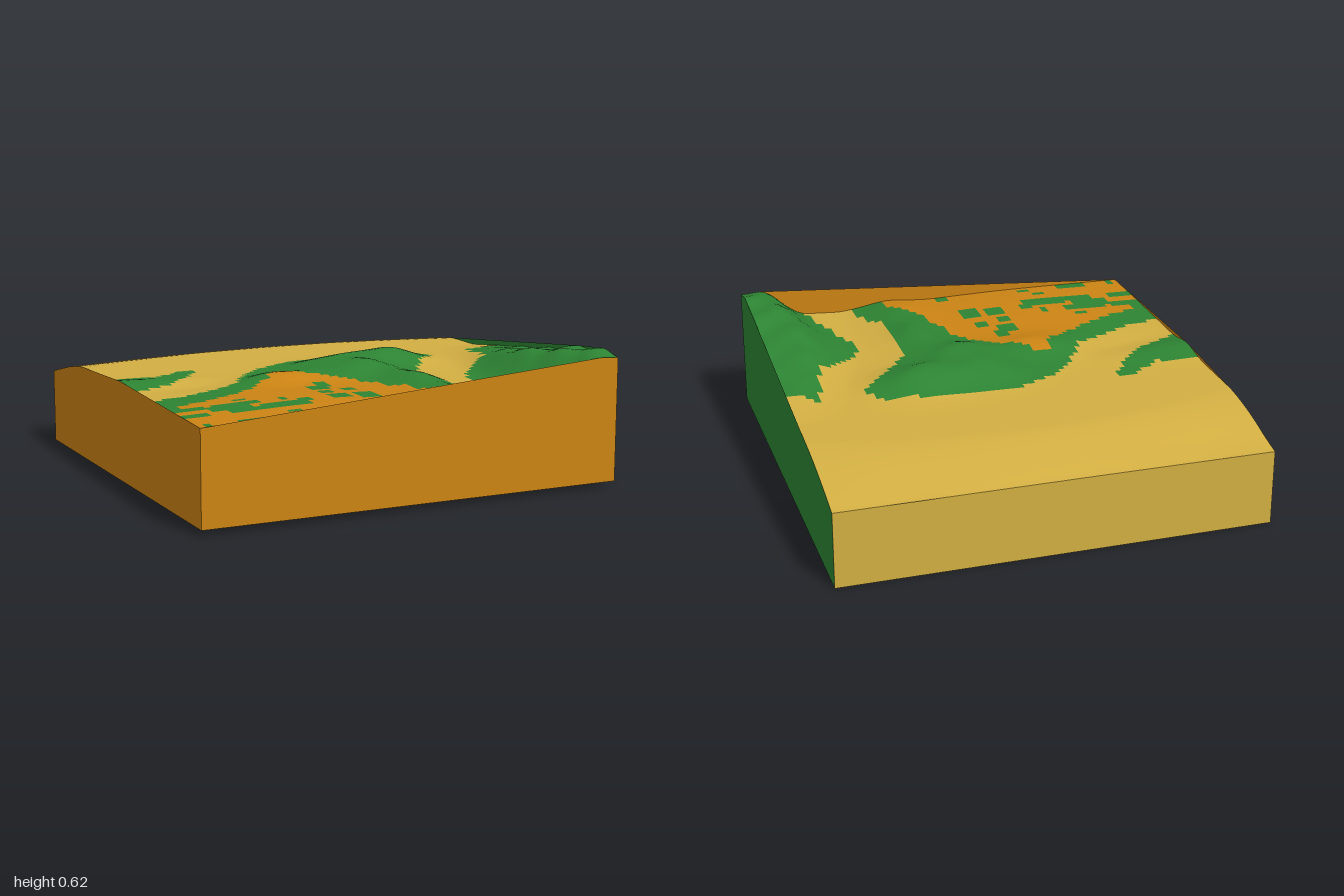
import * as THREE from 'three';

const TAN = 0xd2ae42, GREEN = 0x2d8433, ORANGE = 0xcc8414;
const N = 64, STEP = 2 / N;
const { smoothstep, clamp } = THREE.MathUtils;

// Hills and hollows: x, z, height, radius in x, radius in z
const bumps = [
  [0.36, -0.02, 0.07, 0.19, 0.16], [0.05, 0, 0.05, 0.2, 0.15], [0.1, 0.22, 0.06, 0.17, 0.14],
  [0.23, 0.5, 0.05, 0.12, 0.2], [0.24, 0.86, 0.035, 0.13, 0.2], [-0.3, 0.22, 0.045, 0.2, 0.14],
  [-0.35, 0.72, 0.022, 0.5, 0.35], [-1, 0.02, 0.025, 0.3, 0.12], [0.5, 0.8, -0.012, 0.1, 0.4],
  [0.95, 0.9, 0.015, 0.14, 0.09], [0.95, 0.7, 0.018, 0.14, 0.09], [0.78, 0.5, 0.015, 0.1, 0.12],
  [-0.72, 0.14, -0.012, 0.25, 0.1], [-0.8, -0.9, -0.012, 0.3, 0.1], [0.65, -0.92, -0.01, 0.15, 0.1],
];

// Terrain height: flat plain falling at the back, a ridge on one side, and the bumps
function height(x, z) {
  const brink = -0.66 + 0.16 * x * x;
  let y = 0.45 - 0.095 * Math.pow(clamp((brink - z) / (brink + 1), 0, 1), 1.4);
  const toe = 0.58 + 0.3 * Math.max(0, 0.3 - z) + 0.2 * Math.max(0, z - 0.6);
  y += clamp((z + 0.3) * 0.13, 0, 0.145) * smoothstep(x, toe, toe + 0.27);
  for (const [bx, bz, h, rx, rz] of bumps) {
    y += h * Math.exp(-(((x - bx) / rx) ** 2) - ((z - bz) / rz) ** 2);
  }
  // gentle ripples on the high ground
  return y + 0.06 * Math.max(0, y - 0.46) * Math.sin(x * 23 + 1) * Math.sin(z * 27);
}

// Outlines of the ground covers, seen from above as x, z pairs
const outlines = {
  leftWood: [-1, -0.12, -0.84, -0.12, -0.8, -0.1, -0.7, -0.17, -0.62, -0.22, -0.54, -0.22, -0.6, -0.13,
    -0.67, -0.03, -0.75, 0.05, -0.85, 0.12, -1, 0.19],
  middleWood: [-1, 0.41, -0.8, 0.36, -0.62, 0.27, -0.5, 0.2, -0.45, 0.08, -0.37, -0.01, -0.28, -0.11,
    -0.1, -0.2, 0, -0.22, 0.4, -0.22, 0.42, -0.18, 0.56, -0.18, 0.6, -0.13, 0.62, -0.05, 0.5, 0.08,
    0.42, 0.2, 0.35, 0.3, 0.34, 0.72, 0.39, 0.78, 0.42, 0.85, 0.43, 1, -1, 1],
  rightWood: [1, -0.06, 0.9, -0.06, 0.87, -0.12, 0.84, -0.12, 0.82, 0.05, 0.77, 0.2, 0.65, 0.3, 0.56, 0.4,
    0.53, 0.46, 0.54, 0.6, 0.6, 0.68, 0.61, 0.78, 0.65, 0.88, 0.68, 1, 1, 1],
  field: [-1, 1, 0.28, 1, 0.27, 0.88, 0.22, 0.84, 0.12, 0.74, 0.12, 0.62, 0.07, 0.6, 0.05, 0.47, -0.03, 0.36,
    -0.1, 0.28, -0.2, 0.23, -0.27, 0.12, -0.34, 0.13, -0.37, 0.25, -0.5, 0.35, -0.6, 0.42, -0.75, 0.5,
    -0.92, 0.57, -0.95, 0.62, -0.83, 0.64, -0.82, 0.68, -1, 0.68],
};

// Green patches inside the field: x min, x max, z min, z max
const patches = [
  [-0.82, -0.64, 0.62, 0.68], [-0.83, -0.66, 0.69, 0.74], [-0.78, -0.6, 0.74, 0.8], [-0.62, -0.4, 0.72, 0.81],
  [-1, -0.87, 0.76, 0.82], [-0.69, -0.61, 0.55, 0.6], [-0.66, -0.6, 0.62, 0.68], [-0.5, -0.46, 0.62, 0.7],
  [-0.44, -0.36, 0.68, 0.76], [-0.28, -0.2, 0.65, 0.74], [-0.15, -0.06, 0.65, 0.77], [-0.27, -0.2, 0.44, 0.52],
  [-0.22, -0.16, 0.38, 0.46], [-0.28, -0.22, 0.57, 0.64], [-0.16, -0.1, 0.52, 0.58], [-0.8, -0.66, 0.95, 1],
  [-0.98, -0.93, 0.95, 1], [-0.5, -0.43, 0.94, 0.98], [-0.06, 0, 0.95, 1], [-0.56, -0.5, 0.86, 0.9],
];

function inside(p, x, z) {
  let hit = false;
  for (let i = 0, j = p.length - 2; i < p.length; j = i, i += 2) {
    if ((p[i + 1] > z) !== (p[j + 1] > z) &&
      x < p[i] + ((z - p[i + 1]) * (p[j] - p[i])) / (p[j + 1] - p[i + 1])) hit = !hit;
  }
  return hit;
}

function cover(x, z) {
  if (inside(outlines.field, x, z)) {
    return patches.some(([a, b, c, d]) => x > a && x < b && z > c && z < d) ? 'woodland' : 'field';
  }
  const wooded = ['leftWood', 'middleWood', 'rightWood'].some((k) => inside(outlines[k], x, z));
  return wooded ? 'woodland' : 'sand';
}

function meshFrom(name, color, positions, index, normals) {
  const g = new THREE.BufferGeometry();
  g.setAttribute('position', new THREE.Float32BufferAttribute(positions, 3));
  g.setIndex(index);
  if (normals) g.setAttribute('normal', new THREE.Float32BufferAttribute(normals, 3));
  else g.computeVertexNormals();
  const mesh = new THREE.Mesh(g, new THREE.MeshStandardMaterial({ color, side: THREE.DoubleSide }));
  mesh.name = name;
  return mesh;
}

// Upper hull of the ground line along one edge, so each wall top runs straight over dips
function upperHull(points) {
  const hull = [];
  for (const p of points) {
    while (hull.length > 1) {
      const [a, b] = hull.slice(-2);
      if ((b.t - a.t) * (p.y - a.y) - (b.y - a.y) * (p.t - a.t) < 0) break;
      hull.pop();
    }
    hull.push(p);
  }
  return hull;
}

const floorY = (z) => 0.0125 * (z + 1);

function wall(name, color, at) {
  const line = [];
  for (let i = 0; i <= N; i++) {
    const t = -1 + i * STEP, [x, z] = at(t);
    line.push({ t, x, z, y: height(x, z) });
  }
  const pos = [], idx = [];
  upperHull(line).forEach((p, i) => {
    pos.push(p.x, floorY(p.z), p.z, p.x, p.y, p.z);
    const k = 2 * i;
    if (i) idx.push(k - 2, k, k + 1, k - 2, k + 1, k - 1);
  });
  return meshFrom(name, color, pos, idx);
}

export function createModel() {
  const model = new THREE.Group();
  model.name = 'terrainBlock';

  // Ground surface: one smooth grid, split by cover per cell
  const pos = [], nor = [], e = 0.012;
  for (let j = 0; j <= N; j++) {
    for (let i = 0; i <= N; i++) {
      const x = -1 + i * STEP, z = -1 + j * STEP;
      pos.push(x, height(x, z), z);
      const n = new THREE.Vector3(height(x - e, z) - height(x + e, z), 2 * e, height(x, z - e) - height(x, z + e));
      nor.push(...n.normalize().toArray());
    }
  }
  const cells = { sand: [], woodland: [], field: [] };
  for (let j = 0; j < N; j++) {
    for (let i = 0; i < N; i++) {
      const a = j * (N + 1) + i, b = a + 1, c = a + N + 1, d = c + 1;
      cells[cover(-1 + (i + 0.5) * STEP, -1 + (j + 0.5) * STEP)].push(a, c, b, b, c, d);
    }
  }
  const colors = { sand: TAN, woodland: GREEN, field: ORANGE };
  for (const k in cells) model.add(meshFrom(k, colors[k], pos, cells[k], nor));

  // Side walls, each running left to right as seen from outside
  model.add(
    wall('frontWall', ORANGE, (t) => [t, 1]),
    wall('rightWall', GREEN, (t) => [1, -t]),
    wall('backWall', TAN, (t) => [-t, -1]),
    wall('leftWall', ORANGE, (t) => [-1, t]),
  );

  // Slightly tilted underside
  const f = floorY(1);
  model.add(meshFrom('underside', GREEN, [-1, 0, -1, 1, 0, -1, 1, f, 1, -1, f, 1], [0, 1, 2, 0, 2, 3]));
  return model;
}
